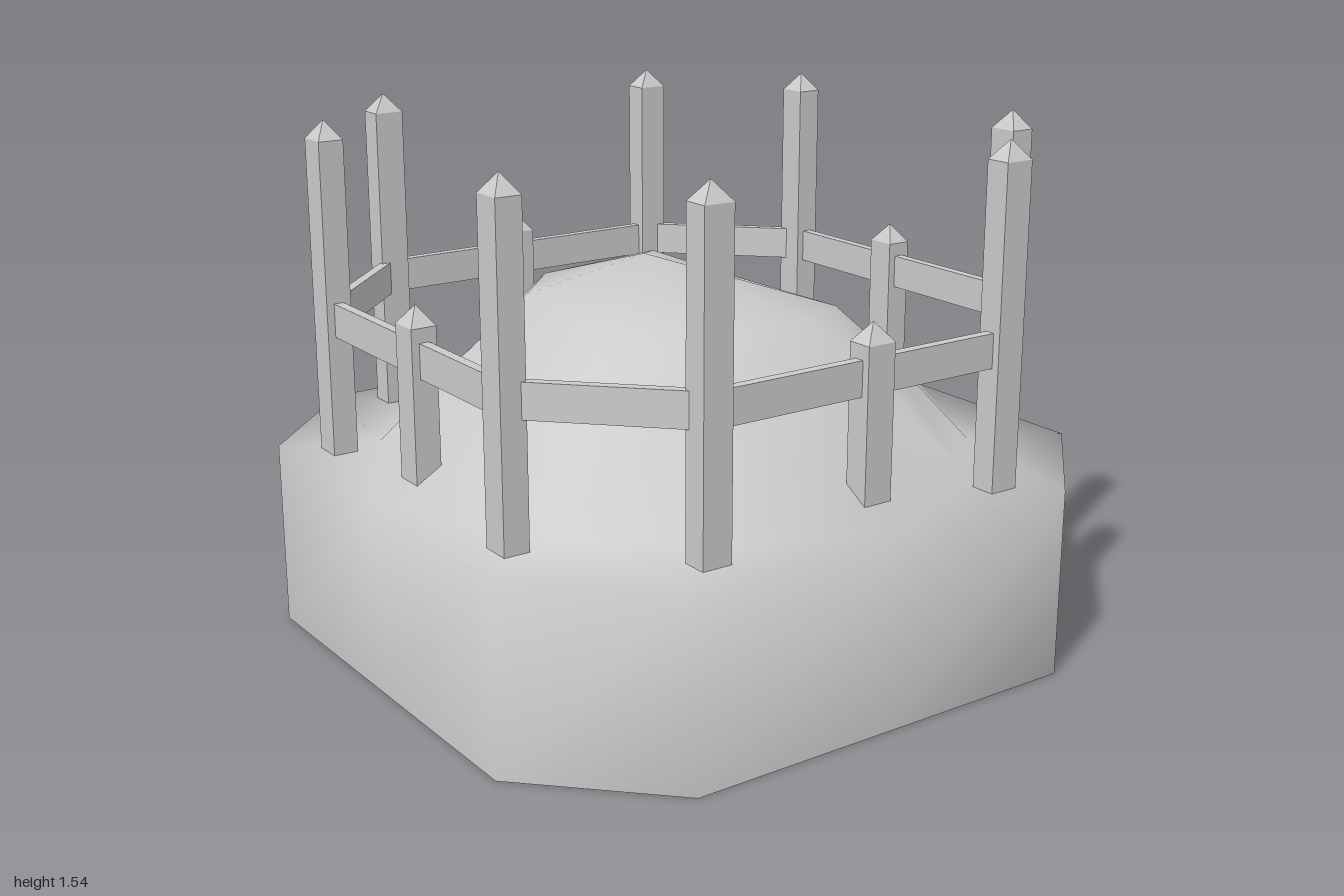
import * as THREE from 'three';

const grey = new THREE.MeshStandardMaterial({ color: 0xcccccc });
const greyOpen = new THREE.MeshStandardMaterial({ color: 0xcccccc, side: THREE.DoubleSide });
const RIM = 0.555;

// Chamfered square wall, open below, rising into an irregular hill
function moundGeometry() {
  const quarter = [
    [1, 0, 0], [1, 0, 0.63], [0.63, 0, 1],              // 0-2 wall foot
    [1, RIM, 0], [1, RIM, 0.63], [0.63, RIM, 1],        // 3-5 wall top
    [0.73, RIM, 0.5], [0.5, RIM, 0.73],                 // 6-7 hill foot
    [0.54, 0.83, 0.32], [0.32, 0.83, 0.54],             // 8-9 hill shoulder
  ];
  const crown = [
    [0.42, 0.96, 0.24], [0.2, 0.98, 0.4], [-0.2, 1.0, 0.43], [-0.38, 1.0, 0.2],
    [-0.36, 1.01, -0.24], [-0.2, 1.02, -0.4], [0.2, 1.04, -0.4], [0.4, 0.96, -0.24],
  ];
  const pos = [];
  const index = [];
  const tri = (a, b, c) => index.push(a, b, c);
  const quad = (a, b, c, d) => { tri(a, c, b); tri(b, c, d); };

  // four quarter turns of the same points
  for (let q = 0; q < 4; q++) {
    for (const [px, y, pz] of quarter) {
      let x = px, z = pz;
      for (let k = 0; k < q; k++) [x, z] = [-z, x];
      pos.push(x, y, z);
    }
  }
  crown.forEach((p) => pos.push(...p));
  pos.push(-0.12, 1.15, 0.02);
  const peak = 48;

  for (let q = 0; q < 4; q++) {
    const v = (i) => q * 10 + i;
    const n = (i) => ((q + 1) % 4) * 10 + i;
    const c = (i) => 40 + ((q * 2 + i) % 8);
    // wall
    quad(v(0), v(1), v(3), v(4));
    quad(v(1), v(2), v(4), v(5));
    quad(v(2), n(0), v(5), n(3));
    // flat corner shelf
    tri(v(3), v(6), v(4));
    quad(v(4), v(5), v(6), v(7));
    tri(v(5), v(7), n(3));
    // slopes
    tri(v(3), v(8), v(6));
    quad(v(6), v(7), v(8), v(9));
    tri(v(7), v(9), n(3));
    tri(n(3), v(9), n(8));
    // crown
    quad(v(8), v(9), c(0), c(1));
    quad(v(9), n(8), c(1), c(2));
    tri(c(0), peak, c(1));
    tri(c(1), peak, c(2));
  }
  const g = new THREE.BufferGeometry();
  g.setAttribute('position', new THREE.Float32BufferAttribute(pos, 3));
  g.setIndex(index);
  g.computeVertexNormals();
  return g;
}

// Square post with a pyramid tip
function makePost(name, x, z, top) {
  const post = new THREE.Group();
  post.name = name;
  const bottom = 0.548, tip = 0.055;
  const side = Math.abs(x) > Math.abs(z);
  const w = side ? 0.076 : 0.09, d = side ? 0.09 : 0.076;
  const h = top - tip - bottom;
  const shaft = new THREE.Mesh(new THREE.BoxGeometry(w, h, d), grey);
  shaft.name = 'postShaft';
  shaft.position.y = bottom + h / 2;
  const cone = new THREE.ConeGeometry(Math.SQRT1_2, tip, 4, 1).toNonIndexed();
  cone.rotateY(Math.PI / 4).scale(w, 1, d);
  cone.computeVertexNormals();
  const cap = new THREE.Mesh(cone, grey);
  cap.name = 'postTip';
  cap.position.y = top - tip / 2;
  post.add(shaft, cap);
  post.position.set(x, 0, z);
  return post;
}

// Flat rail between two points on the ground plan
function makeRail([x1, z1], [x2, z2]) {
  const length = Math.hypot(x2 - x1, z2 - z1);
  const rail = new THREE.Mesh(new THREE.BoxGeometry(length, 0.1, 0.03), grey);
  rail.name = 'rail';
  rail.position.set((x1 + x2) / 2, 0.962, (z1 + z2) / 2);
  rail.rotation.y = -Math.atan2(z2 - z1, x2 - x1);
  return rail;
}

export function createModel() {
  const model = new THREE.Group();
  model.name = 'fencedMound';

  const mound = new THREE.Mesh(moundGeometry(), greyOpen);
  mound.name = 'mound';
  model.add(mound);

  // tall posts at the ends of every side
  const corners = [
    [0.865, -0.495], [0.865, 0.49], [0.49, 0.862], [-0.5, 0.862],
    [-0.865, 0.49], [-0.865, -0.495], [-0.49, -0.865], [0.495, -0.865],
  ];
  corners.forEach(([x, z]) => model.add(makePost('tallPost', x, z, 1.538)));

  // short posts near the middle of every side
  for (const [x, z] of [[0.865, -0.03], [0.025, 0.862], [-0.865, 0.025], [-0.03, -0.865]]) {
    model.add(makePost('shortPost', x, z, 1.108));
  }

  // rails joining neighbouring tall posts
  corners.forEach((p, i) => model.add(makeRail(p, corners[(i + 1) % corners.length])));
  return model;
}
